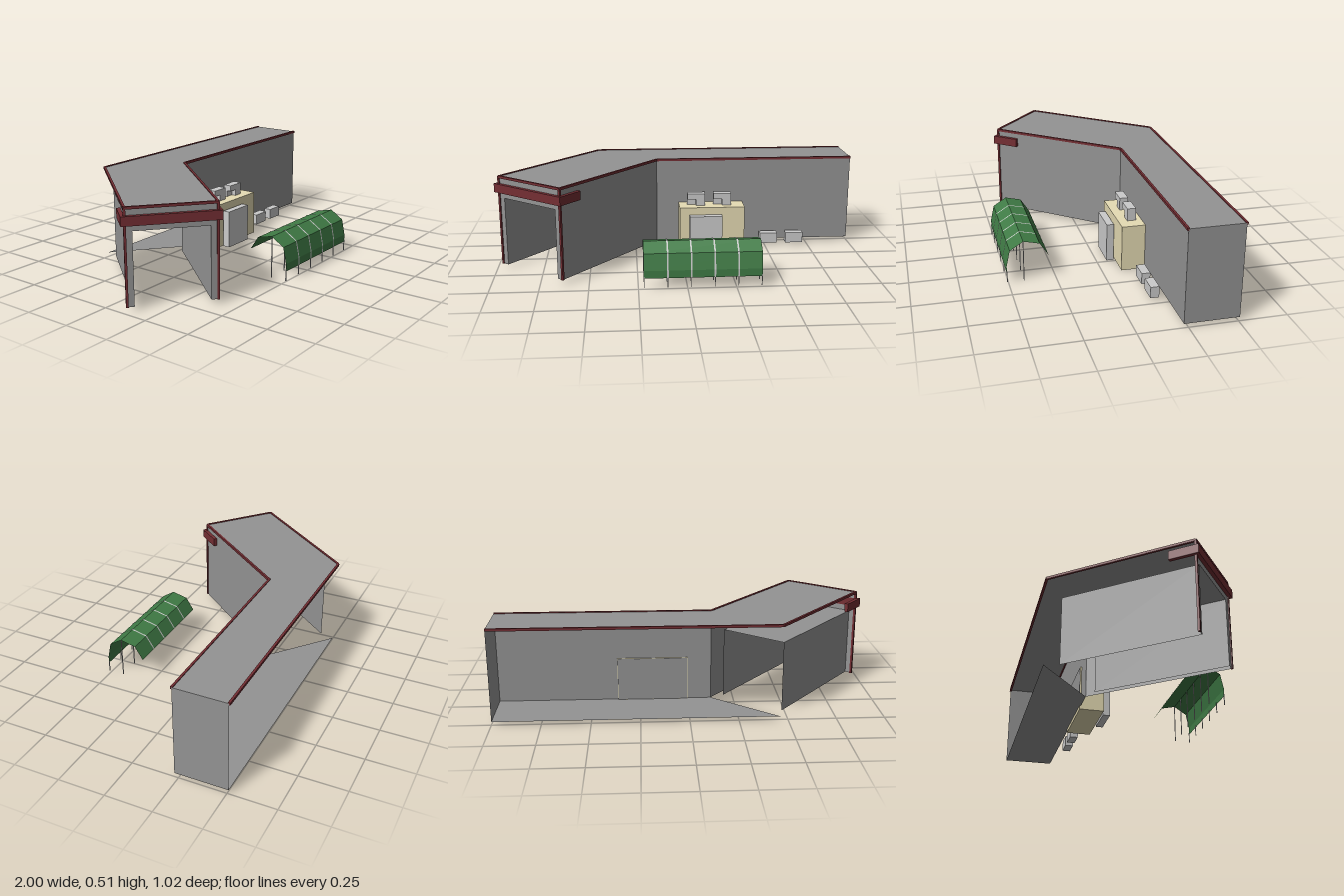
import * as THREE from 'three';

const mat = (color) => new THREE.MeshStandardMaterial({ color, side: THREE.DoubleSide, flatShading: true });

export function createModel() {
  const root = new THREE.Group();
  const grey = mat(0xcccccc), concrete = mat(0x949494), red = mat(0x742e33);
  const tan = mat(0xe6dcb4), green = mat(0x407c46);

  function add(name, geo, material, x = 0, y = 0, z = 0, ry = 0) {
    const m = new THREE.Mesh(geo, material);
    m.name = name;
    m.position.set(x, y, z);
    m.rotation.y = ry;
    root.add(m);
    return m;
  }
  // box given by its extents
  const box = (name, material, x0, x1, y0, y1, z0, z1) =>
    add(name, new THREE.BoxGeometry(x1 - x0, y1 - y0, z1 - z0), material,
      (x0 + x1) / 2, (y0 + y1) / 2, (z0 + z1) / 2);
  // upright sheet (t = 0) or bar between two plan points [x, z]
  function span(name, material, p, q, y0, y1, t = 0, extra = 0) {
    const dx = q[0] - p[0], dz = q[1] - p[1], d = Math.hypot(dx, dz) + extra;
    const geo = t ? new THREE.BoxGeometry(d, y1 - y0, t) : new THREE.PlaneGeometry(d, y1 - y0);
    add(name, geo, material, (p[0] + q[0]) / 2, (y0 + y1) / 2, (p[1] + q[1]) / 2, -Math.atan2(dz, dx));
  }
  // horizontal sheet over a plan outline
  function slab(name, material, pts, y) {
    const s = new THREE.Shape(pts.map(([x, z]) => new THREE.Vector2(x, -z)));
    add(name, new THREE.ShapeGeometry(s).rotateX(-Math.PI / 2), material, 0, y, 0);
  }

  // plan corners: bend (outer, inner), far end, angled wing end
  const bottom = 0.02, top = 0.505, W = 0.437, L = 0.803;
  const outer = [-0.46, -0.507], inner = [-0.125, -0.228];
  const endBack = [0.998, -0.507], endFront = [0.998, -0.228];
  // point in the wing: u across, v along
  const wing = (u, v) => [outer[0] + 0.767 * u - 0.635 * v, outer[1] + 0.641 * u + 0.772 * v];
  const wingA = wing(0, L), wingB = wing(W, L);

  // shell, open at the back
  slab('roof', concrete, [outer, wingA, wingB, inner, endFront, endBack], top);
  slab('floor', concrete, [outer, inner, endFront, endBack], bottom);
  span('frontWall', concrete, inner, endFront, bottom, top);
  span('endWall', concrete, endFront, endBack, bottom, top);
  span('wingWall', concrete, inner, wingB, bottom, top);

  // passage through the wing with its portal
  const j = 0.035, passTop = 0.39, v0 = 0.07;
  span('portalJamb', concrete, wingA, wing(j, L), bottom, top);
  span('portalJamb', concrete, wing(W - j, L), wingB, bottom, top);
  span('portalLintel', concrete, wing(j, L), wing(W - j, L), passTop, top);
  for (const u of [j, W - j]) span('passageWall', concrete, wing(u, v0), wing(u, L), bottom, passTop);
  slab('passageCeiling', concrete, [wing(j, v0), wing(j, L), wing(W - j, L), wing(W - j, v0)], passTop);

  // red edge trim
  const t = 0.012;
  for (const [p, q] of [[endBack, outer], [outer, wingA], [wingA, wingB], [wingB, inner], [inner, endFront]])
    span('roofTrim', red, p, q, top - 0.009, top + 0.004, t);
  for (const u of [0, W])
    span('cornerTrim', red, wing(u - t / 2, L), wing(u + t / 2, L), bottom, top, t);

  // red band around the wing end
  span('portalBand', red, wing(-0.02, L + 0.01), wing(W + 0.02, L + 0.01), 0.42, 0.467, 0.02);
  for (const u of [-0.01, W + 0.01])
    span('portalBandReturn', red, wing(u, L - 0.133), wing(u, L), 0.42, 0.467, 0.02);

  // counter against the front wall
  box('counter', tan, 0, 0.37, 0, 0.25, -0.235, -0.102);
  box('counterBack', concrete, 0.002, 0.368, 0.021, 0.249, -0.237, -0.2355);
  box('counterPanel', grey, 0.055, 0.238, 0, 0.21, -0.094, -0.055);

  // machines on the counter, each with a recess in the lower corner
  for (const x of [0.047, 0.197]) {
    const s = new THREE.Shape([[0.048, 0], [0.1, 0], [0.1, 0.068], [0, 0.068], [0, 0.035], [0.048, 0.035]]
      .map(([a, b]) => new THREE.Vector2(a, b)));
    add('machineFront', new THREE.ExtrudeGeometry(s, { depth: 0.025, bevelEnabled: false }), grey, x, 0.25, -0.175);
    box('machineBody', grey, x, x + 0.1, 0.25, 0.318, -0.197, -0.175);
  }

  // low boxes beside the counter
  for (const x of [0.47, 0.62]) box('lowBox', grey, x, x + 0.1, 0.015, 0.075, -0.197, -0.152);

  // canopy: folded sheet over hoops, profile as [z, y]
  const profile = [[0.508, 0.06], [0.508, 0.1], [0.49, 0.185], [0.42, 0.23], [0.335, 0.21], [0.29, 0.14]];
  const x0 = -0.223, x1 = 0.38;
  const hoops = Array.from({ length: 6 }, (_, i) => x0 + 0.002 + i * (x1 - x0 - 0.004) / 5);
  // strip of the folded profile, lifted slightly off it
  function folded(name, material, xa, xb, lift) {
    const pos = [], index = [];
    profile.forEach(([z, y], i) => {
      const dz = (z - 0.4) * lift * 8, dy = i > 1 ? lift : 0;
      pos.push(xa, y + dy, z + dz, xb, y + dy, z + dz);
      const a = 2 * i;
      if (i) index.push(a - 2, a - 1, a + 1, a - 2, a + 1, a);
    });
    const g = new THREE.BufferGeometry();
    g.setAttribute('position', new THREE.Float32BufferAttribute(pos, 3));
    g.setIndex(index);
    g.computeVertexNormals();
    add(name, g, material);
  }
  folded('canopy', green, x0, x1, 0);
  hoops.forEach((x, i) => {
    if (i > 0 && i < 5) folded('canopyHoop', grey, x - 0.004, x + 0.004, 0.002);
    box('canopyLeg', grey, x - 0.002, x + 0.002, 0.01, 0.07, 0.505, 0.509);
    box('canopyPost', grey, x - 0.002, x + 0.002, 0.01, 0.228, 0.418, 0.422);
  });
  return root;
}
